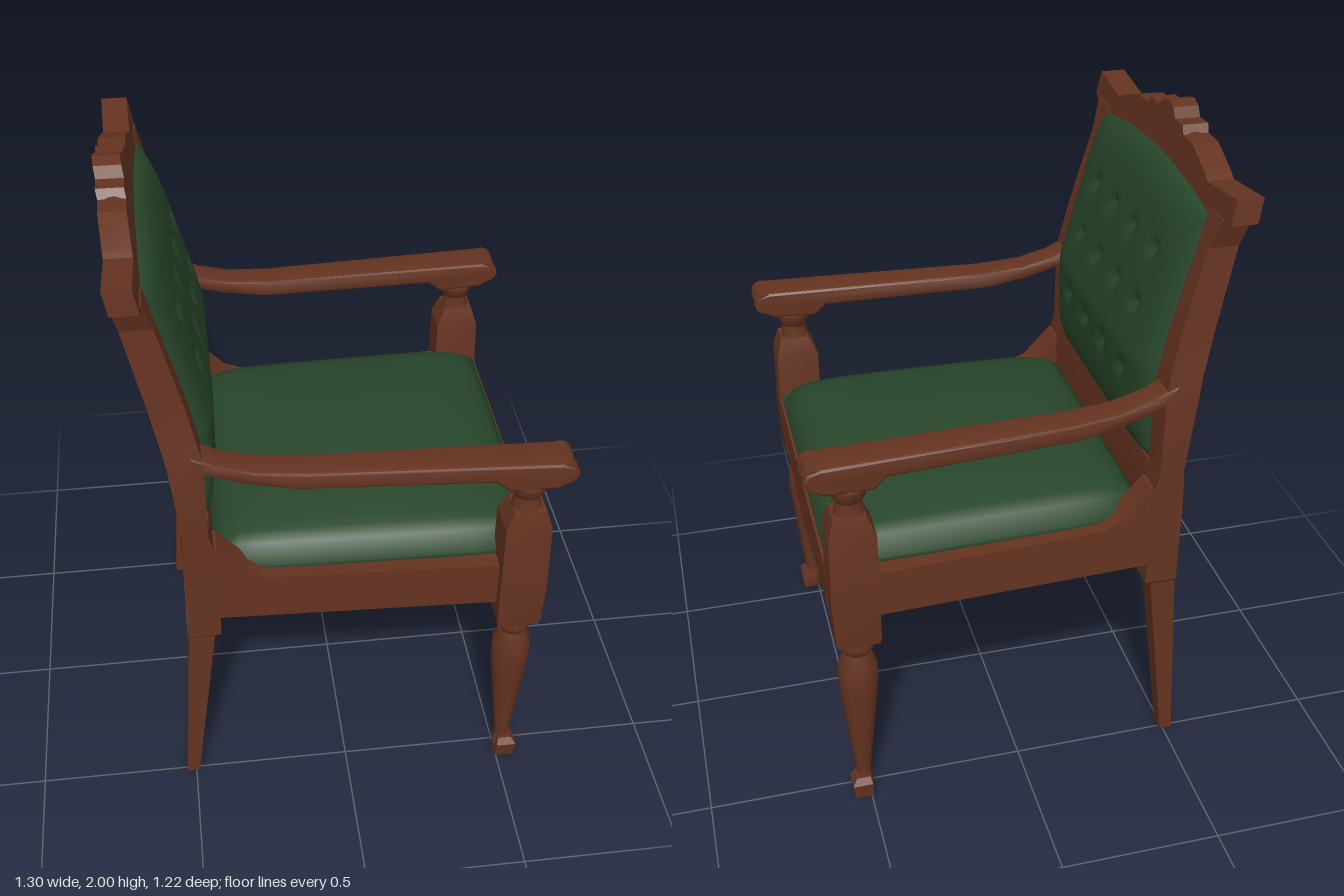
import * as THREE from 'three';
import { toCreasedNormals } from 'three/addons/utils/BufferGeometryUtils.js';

const wood = new THREE.MeshStandardMaterial({ color: 0x653320 });
wood.name = 'brown wood';
const leather = new THREE.MeshStandardMaterial({ color: 0x28462b });
leather.name = 'green leather';
const lining = new THREE.MeshStandardMaterial({ color: 0x3a372a });
lining.name = 'dark lining';

const lerp = THREE.MathUtils.lerp;

// Apply a rule (v => void) to every vertex, then refresh normals.
function warp(geo, rule, crease = 0.6) {
  const p = geo.attributes.position, v = new THREE.Vector3();
  for (let i = 0; i < p.count; i++) {
    rule(v.fromBufferAttribute(p, i));
    p.setXYZ(i, v.x, v.y, v.z);
  }
  return toCreasedNormals(geo, crease);
}

// Stack of rectangular sections [y, x0, x1, z0, z1], from bottom to top.
function stack(sections) {
  const pos = [], idx = [], n = sections.length;
  for (const [y, x0, x1, z0, z1] of sections) {
    pos.push(x0, y, z1, x1, y, z1, x1, y, z0, x0, y, z0);
  }
  for (let i = 0; i < n - 1; i++) {
    for (let k = 0; k < 4; k++) {
      const a = i * 4 + k, b = i * 4 + (k + 1) % 4;
      idx.push(a, b, b + 4, a, b + 4, a + 4);
    }
  }
  const t = (n - 1) * 4;
  idx.push(0, 2, 1, 0, 3, 2, t, t + 1, t + 2, t, t + 2, t + 3);
  const geo = new THREE.BufferGeometry();
  geo.setAttribute('position', new THREE.Float32BufferAttribute(pos, 3));
  geo.setIndex(idx);
  return toCreasedNormals(geo, 0.3);
}

const shapeOf = pts => new THREE.Shape(pts.map(([x, y]) => new THREE.Vector2(x, y)));

// Side-profile bar that drifts outward and widens toward the front.
function sideBar(profile, side, [zBack, zFront], [wBack, wFront], bevel) {
  const geo = new THREE.ExtrudeGeometry(shapeOf(profile), {
    depth: 1, bevelEnabled: bevel > 0, bevelThickness: 0.18, bevelSize: bevel,
    bevelOffset: -bevel, bevelSegments: 2,
  });
  const span = bevel > 0 ? 1.36 : 1;
  return warp(geo, v => {
    const t = (v.x + 0.42) / 1.02;
    v.z = side * lerp(zBack, zFront, t) + (v.z - 0.5) / span * lerp(wBack, wFront, t);
  }, 0.5);
}

// Board outlined in z and y, mirrored from its +z half, thick along x.
function crossBoard(top, bottom, depth) {
  const half = [...top, ...bottom];
  const mirror = half.map(([z, y]) => [-z, y]).reverse();
  const geo = new THREE.ExtrudeGeometry(shapeOf([...half, ...mirror]),
    { depth, bevelEnabled: false });
  return geo.rotateY(Math.PI / 2);
}

export function createModel() {
  const chair = new THREE.Group();
  chair.name = 'armchair';
  const add = (name, geo, mat = wood, parent = chair) => {
    const m = new THREE.Mesh(geo, mat);
    m.name = name;
    parent.add(m);
    return m;
  };

  const legProfile = [[0, 0.01], [0.024, 0.01], [0.03, 0.03], [0.03, 0.06], [0.022, 0.085],
    [0.025, 0.12], [0.045, 0.31], [0.061, 0.46], [0.06, 0.53], [0.042, 0.585],
    [0.053, 0.605], [0.053, 0.625], [0.045, 0.66]];
  const neckProfile = [[0.05, 1.07], [0.042, 1.105], [0.04, 1.13], [0.052, 1.15],
    [0.058, 1.175], [0.05, 1.2]];
  const armProfile = [[-0.45, 1.345], [-0.41, 1.33], [-0.37, 1.31], [-0.27, 1.283],
    [-0.13, 1.272], [0.6, 1.272], [0.635, 1.26], [0.645, 1.235], [0.635, 1.205], [0.59, 1.18],
    [0.45, 1.175], [0.41, 1.21], [-0.15, 1.215], [-0.29, 1.24], [-0.45, 1.29]];
  const railProfile = [[-0.41, 0.72], [0.46, 0.72], [0.46, 0.87], [-0.24, 0.875],
    [-0.3, 0.9], [-0.35, 0.955], [-0.39, 1.0], [-0.41, 1.0]];

  for (const s of [1, -1]) {
    const sided = rows => rows.map(([y, x0, x1, a, b]) =>
      s > 0 ? [y, x0, x1, a, b] : [y, x0, x1, -b, -a]);
    const half = new THREE.Group();
    half.name = s > 0 ? 'leftSide' : 'rightSide';
    chair.add(half);

    // Raked back leg running up into the back stile
    add('backLegAndStile', stack(sided([
      [0, -0.53, -0.49, 0.46, 0.515], [0.64, -0.49, -0.41, 0.452, 0.53],
      [0.65, -0.49, -0.39, 0.45, 0.538], [0.97, -0.49, -0.39, 0.45, 0.54],
      [1.05, -0.485, -0.41, 0.44, 0.54], [1.31, -0.512, -0.412, 0.44, 0.543],
      [1.36, -0.522, -0.42, 0.44, 0.532], [1.5, -0.55, -0.45, 0.44, 0.52],
      [1.75, -0.605, -0.515, 0.44, 0.502], [1.84, -0.625, -0.54, 0.43, 0.53]])), wood, half);

    // Turned front leg, square post and neck
    const spin = (name, pts) => {
      const geo = new THREE.LatheGeometry(pts.map(p => new THREE.Vector2(...p)), 12);
      add(name, toCreasedNormals(geo, 0.6), wood, half).position.set(0.518, 0, s * 0.545);
    };
    spin('frontLeg', legProfile);
    spin('armSupportNeck', neckProfile);
    add('frontPost', stack(sided([
      [0.64, 0.455, 0.58, 0.488, 0.602], [0.66, 0.45, 0.585, 0.483, 0.605],
      [0.8, 0.45, 0.592, 0.483, 0.605],
      [1.03, 0.45, 0.588, 0.485, 0.603], [1.09, 0.475, 0.57, 0.5, 0.59]])), wood, half);
    add('toe', stack(sided([[0.008, 0.495, 0.553, 0.527, 0.582],
      [0.065, 0.497, 0.56, 0.525, 0.59], [0.085, 0.502, 0.545, 0.53, 0.575]])), wood, half);

    // Arm with a scrolled hand rest
    add('arm', sideBar(armProfile, s, [0.498, 0.548], [0.088, 0.116], 0.01), wood, half);
    for (const off of [-0.038, 0.038]) {
      const scroll = add('armScroll', new THREE.CylinderGeometry(0.036, 0.036, 0.034, 12), wood, half);
      scroll.rotation.x = Math.PI / 2;
      scroll.position.set(0.612, 1.235, s * 0.548 + off);
    }

    add('sideRail', sideBar(railProfile, s, [0.494, 0.535], [0.084, 0.084], 0), wood, half);

    // Carved leaf on the crest
    const leaf = add('crestLeaf', new THREE.SphereGeometry(1, 10, 6), wood, half);
    leaf.scale.set(0.041, 0.02, 0.09);
    leaf.position.set(-0.6, 1.925, s * 0.18);
    leaf.rotation.x = s * 0.2;
  }

  // Scalloped front apron and plain back rail
  add('frontApron', crossBoard([[0, 0.87], [0.5, 0.87]],
    [[0.5, 0.72], [0.43, 0.735], [0.3, 0.73], [0.2, 0.708], [0.12, 0.69], [0.09, 0.7],
      [0.06, 0.685], [0, 0.68]], 0.075)).position.x = 0.517;
  add('backRail', stack([[0.805, -0.48, -0.4, -0.46, 0.46], [0.97, -0.48, -0.395, -0.46, 0.46],
    [1.05, -0.483, -0.405, -0.46, 0.46]]));

  // Arched crest rail leaning with the back
  const crest = crossBoard(
    [[0, 2], [0.04, 1.99], [0.07, 1.965], [0.13, 1.968], [0.15, 1.945], [0.22, 1.945],
      [0.34, 1.905], [0.37, 1.89], [0.565, 1.912]],
    [[0.572, 1.84], [0.525, 1.825], [0.51, 1.78], [0.45, 1.78], [0.44, 1.8], [0.2, 1.825],
      [0.1, 1.842], [0, 1.848]], 0.078);
  add('crestRail', warp(crest, v => { v.x += -0.622 - 0.19 * (v.y - 1.84); }, 0.3));
  const boss = add('crestBoss', new THREE.SphereGeometry(1, 12, 8));
  boss.scale.set(0.042, 0.055, 0.06);
  boss.position.set(-0.607, 1.943, 0);

  // Seat cushion: spills over the side rails, flat underneath
  const seat = new THREE.BoxGeometry(2, 1, 2, 24, 3, 24);
  add('seatCushion', warp(seat, v => {
    const u = v.x, w = v.z, t = v.y + 0.5, along = (u + 1) / 2, under = t < 0.3;
    const edge = Math.sqrt((1 - u ** 10) * (1 - w ** 10));
    const top = 0.885 + 0.06 * edge + 0.045 * (1 - Math.abs(u) ** 3) * (1 - w * w);
    const spill = under ? 0 : 0.036 * (1 - u ** 6);
    v.set(lerp(under ? -0.47 : -0.4, 0.583, along),
      under ? 0.8 : lerp(0.868, top, (t - 1 / 3) * 1.5),
      w * (lerp(0.462, 0.486, along) + spill));
  }, 0.9), leather);

  // Buttoned back cushion
  const pits = [];
  for (const y of [1.27, 1.48, 1.65]) for (const z of [-0.26, -0.085, 0.085, 0.26]) pits.push([y, z]);
  const pad = new THREE.BoxGeometry(1, 2, 2, 1, 44, 44);
  add('backCushion', warp(pad, v => {
    const b = v.y, w = v.z;
    const y = lerp(1.045, 1.815 + 0.045 * (1 - w * w), (b + 1) / 2), z = w * 0.442;
    const base = -0.415 - 0.26 * Math.max(0, y - 1.35);
    let puff = 0.05 * Math.sqrt((1 - b ** 6) * (1 - w ** 6));
    for (const [py, pz] of pits) {
      puff -= 0.026 * Math.exp(-((y - py) ** 2 + (z - pz) ** 2) / 0.0005);
    }
    v.set(v.x > 0 ? base + puff : base - 0.04, y, z);
  }, 0.9), leather);

  // Dark lining closing the rear of the back
  add('backLining', stack([[1.05, -0.478, -0.45, -0.445, 0.445], [1.3, -0.502, -0.45, -0.445, 0.445],
    [1.5, -0.542, -0.48, -0.445, 0.445], [1.85, -0.617, -0.57, -0.445, 0.445]]), lining);

  return chair;
}
